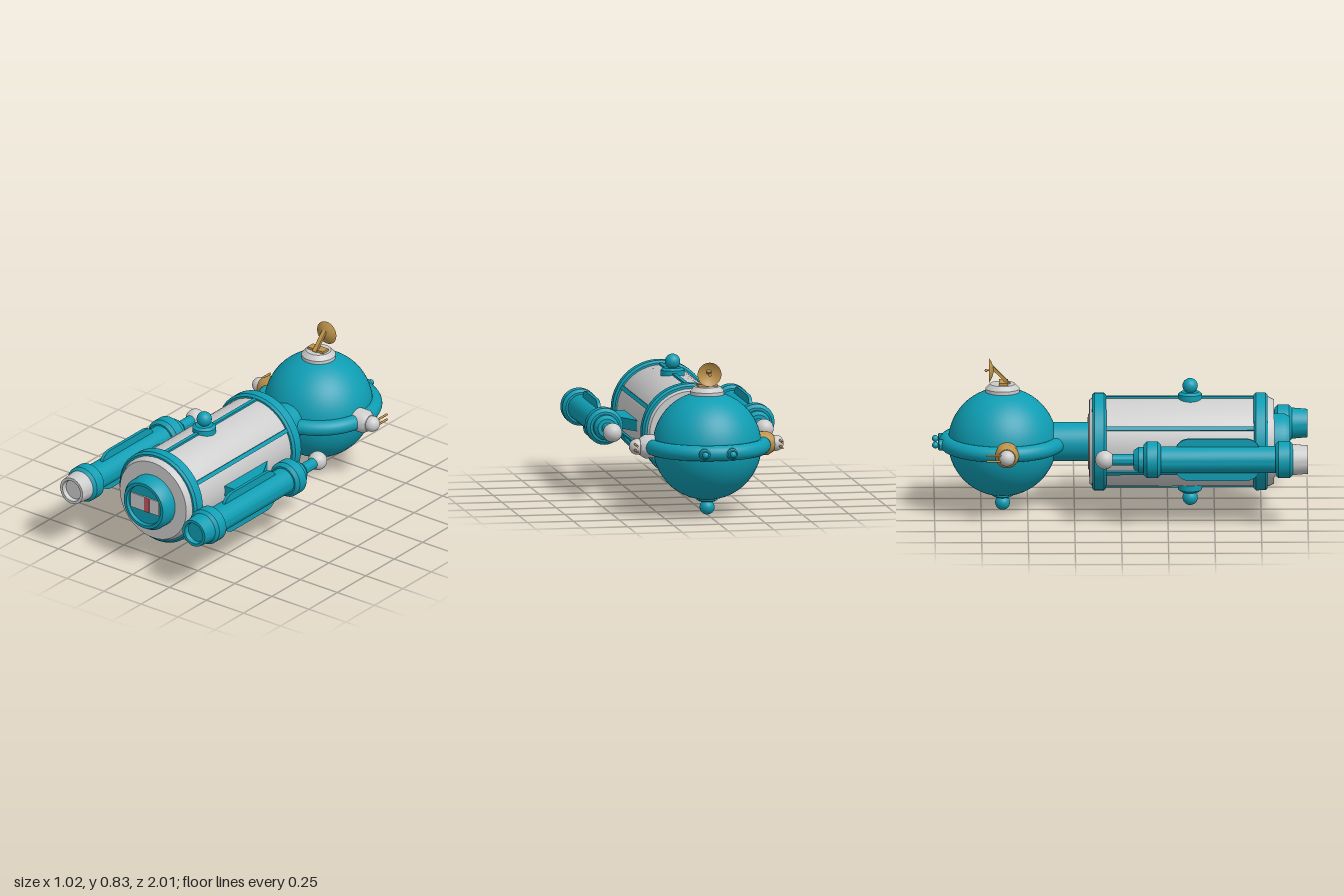
import * as THREE from 'three';
import { toCreasedNormals } from 'three/addons/utils/BufferGeometryUtils.js';

const paint = (color) => new THREE.MeshStandardMaterial({ color });
const TEAL = paint(0x0e9db3), GREY = paint(0xcccccc), TAN = paint(0xbd934b), RED = paint(0xc05560);
const DISH = new THREE.MeshStandardMaterial({ color: 0xbd934b, side: THREE.DoubleSide });
const CY = 0.375, HEAD_Z = -0.635;

function add(parent, name, geometry, material, x = 0, y = 0, z = 0) {
  const mesh = new THREE.Mesh(geometry, material);
  mesh.name = name;
  mesh.position.set(x, y, z);
  parent.add(mesh);
  return mesh;
}

// Turned solid with [radius, height] points listed bottom to top, crisp edges
function turned(points, segments = 48) {
  const profile = points.map(([r, h]) => new THREE.Vector2(r, h));
  return toCreasedNormals(new THREE.LatheGeometry(profile, segments), 0.6);
}
const turnedZ = (points) => turned(points).rotateX(Math.PI / 2);
const ball = (r) => new THREE.SphereGeometry(r, 28, 20);
const box = (w, h, d) => new THREE.BoxGeometry(w, h, d);

// Closed band with bevelled edges along z
const band = (r, z0, z1, c = 0.012) =>
  turnedZ([[0, z0], [r - c, z0], [r, z0 + c], [r, z1 - c], [r - c, z1], [0, z1]]);

// Lamp made of a stepped base and a ball, pointing along its own +y
function lamp(name, baseR, ballR, baseH) {
  const g = new THREE.Group();
  g.name = name;
  add(g, 'lampBase', turned([[0, -0.02], [baseR, -0.02], [baseR, baseH * 0.6], [baseR * 0.75, baseH], [0, baseH]], 32), TEAL);
  add(g, 'lampBall', ball(ballR), TEAL, 0, baseH + ballR * 0.8, 0);
  return g;
}

function makeBody() {
  const g = new THREE.Group();
  g.name = 'body';
  g.position.y = CY;
  add(g, 'hull', turnedZ([[0, -0.17], [0.225, -0.17], [0.24, -0.15], [0.24, 0.79], [0.225, 0.82], [0, 0.82]]), GREY);
  add(g, 'rearBand', band(0.262, -0.155, -0.08), TEAL);
  add(g, 'frontBand', band(0.262, 0.71, 0.785), TEAL);
  add(g, 'neck', turnedZ([[0, -0.42], [0.105, -0.42], [0.105, -0.16], [0, -0.16]]), TEAL);
  add(g, 'neckCollar', band(0.15, -0.178, -0.16, 0.006), GREY);
  // Long ribs around the hull
  for (let i = 0; i < 6; i++) {
    const a = Math.PI / 2 + i * Math.PI / 3;
    add(g, 'rib', box(0.02, 0.022, 0.8), TEAL, Math.cos(a) * 0.24, Math.sin(a) * 0.24, 0.315)
      .rotation.z = a;
  }
  // Nose hub with shallow recess and slot
  add(g, 'noseHub', turnedZ([[0, 0.81], [0.15, 0.81], [0.15, 0.875], [0.132, 0.905], [0.115, 0.905], [0.112, 0.885], [0, 0.885]]), TEAL);
  add(g, 'noseSlot', box(0.19, 0.085, 0.012), GREY, 0, 0.005, 0.887);
  add(g, 'noseSlotBar', box(0.035, 0.085, 0.008), RED, 0.015, 0.005, 0.892);
  // Lamps above and below
  for (const s of [1, -1]) {
    const l = lamp(s > 0 ? 'topLamp' : 'bottomLamp', 0.064, 0.041, 0.03);
    l.position.set(0, s * 0.245, 0.37);
    if (s < 0) l.rotation.x = Math.PI;
    g.add(l);
  }
  return g;
}

function makeHead() {
  const g = new THREE.Group();
  g.name = 'head';
  g.position.set(0, CY, HEAD_Z);
  add(g, 'sphere', new THREE.SphereGeometry(0.292, 56, 36), TEAL);
  add(g, 'equatorRing', new THREE.TorusGeometry(0.3, 0.042, 20, 64).rotateX(Math.PI / 2), TEAL);
  const chin = lamp('chinLamp', 0.056, 0.04, 0.02);
  chin.rotation.x = Math.PI;
  chin.position.y = -0.282;
  g.add(chin);
  // Rear lights on the ring
  for (const s of [-1, 1]) {
    const l = lamp('rearLight', 0.03, 0.018, 0.016);
    l.position.set(s * 0.075, 0, -0.33);
    l.rotation.set(-Math.PI / 2, 0, 0);
    g.add(l);
  }
  // Side sensors: cone mount, ball and two prongs
  for (const s of [-1, 1]) {
    const side = new THREE.Group();
    side.name = s > 0 ? 'leftSensor' : 'rightSensor';
    const mount = turned([[0, 0.27], [0.064, 0.27], [0.064, 0.335], [0.045, 0.365], [0, 0.365]], 32).rotateZ(-s * Math.PI / 2);
    add(side, 'sensorMount', mount, s > 0 ? GREY : TAN);
    add(side, 'sensorBall', ball(0.043), GREY, s * 0.378, 0, 0);
    for (const y of [-0.013, 0.018])
      add(side, 'prong', new THREE.CylinderGeometry(0.006, 0.006, 0.11, 10).rotateX(Math.PI / 2), TAN, s * 0.395, y, -0.055);
    side.position.z = 0.022;
    g.add(side);
  }
  // Dish antenna on its turntable
  const antenna = new THREE.Group();
  antenna.name = 'dishAntenna';
  add(antenna, 'turntable', turned([[0, 0.26], [0.092, 0.26], [0.092, 0.295], [0.068, 0.32], [0, 0.32]]), GREY);
  add(antenna, 'pedestal', box(0.105, 0.016, 0.05), TAN, 0, 0.325, 0.005);
  const strut = add(antenna, 'strut', box(0.024, 0.13, 0.016), TAN, 0, 0.365, -0.01);
  strut.rotation.x = -0.78;
  const profile = [];
  for (let i = 0; i <= 8; i++) profile.push(new THREE.Vector2(0.065 * i / 8, 0.024 * (i / 8) ** 2));
  const dish = new THREE.Group();
  dish.name = 'dish';
  add(dish, 'reflector', new THREE.LatheGeometry(profile, 36), DISH);
  add(dish, 'feed', new THREE.CylinderGeometry(0.004, 0.004, 0.04, 8), TAN, 0, 0.02, 0);
  add(dish, 'feedTip', ball(0.008), TAN, 0, 0.04, 0);
  dish.rotation.x = -Math.PI / 2;
  dish.position.set(0, 0.393, -0.048);
  antenna.add(dish);
  g.add(antenna);
  return g;
}

// Thin fin plate with rounded corners, lying in the yz plane
function finGeometry() {
  const s = new THREE.Shape(), z0 = 0.28, z1 = 0.75, h = 0.115, r = 0.09;
  s.moveTo(z0 + r, -h);
  s.lineTo(z1 - r, -h);
  s.quadraticCurveTo(z1, -h, z1, 0);
  s.quadraticCurveTo(z1, h, z1 - r, h);
  s.lineTo(z0 + r, h);
  s.quadraticCurveTo(z0, h, z0, 0);
  s.quadraticCurveTo(z0, -h, z0 + r, -h);
  return new THREE.ExtrudeGeometry(s, { depth: 0.018, bevelEnabled: false })
    .translate(0, 0, -0.009).rotateY(-Math.PI / 2);
}

function makePod(side) {
  const g = new THREE.Group();
  g.name = side > 0 ? 'leftPod' : 'rightPod';
  g.position.set(side * 0.413, CY, 0);
  add(g, 'podTube', turnedZ([[0, 0.18], [0.072, 0.18], [0.072, 0.84], [0, 0.84]]), TEAL);
  add(g, 'rearCollar', band(0.099, 0.118, 0.212, 0.018), TEAL);
  add(g, 'rearCap', turnedZ([[0, 0.065], [0.05, 0.065], [0.068, 0.09], [0.068, 0.13], [0, 0.13]]), TEAL);
  add(g, 'tailStem', turnedZ([[0, -0.07], [0.03, -0.07], [0.03, 0.08], [0, 0.08]]), TEAL);
  add(g, 'tailBall', ball(0.051), GREY, 0, 0, -0.09);
  add(g, 'frontCollar', band(0.099, 0.825, 0.918, 0.016), TEAL);
  add(g, 'nozzle', turnedZ([[0, 0.9], [0.085, 0.9], [0.076, 1.0], [0.06, 1.0], [0.055, 0.975], [0, 0.975]]), side > 0 ? TEAL : GREY);
  add(g, 'podFin', finGeometry(), TEAL);
  return g;
}

// Swept wing joining the body to a pod
function makeWing(side) {
  const s = new THREE.Shape();
  s.moveTo(0.2, 0.05);
  s.lineTo(0.4, 0.43);
  s.lineTo(0.4, 0.5);
  s.lineTo(0.2, 0.5);
  const geo = new THREE.ExtrudeGeometry(s, { depth: 0.06, bevelEnabled: false })
    .translate(0, 0, -0.03).rotateX(Math.PI / 2);
  const wing = add(new THREE.Group(), side > 0 ? 'leftWing' : 'rightWing', geo, TEAL, 0, CY, 0);
  if (side < 0) wing.scale.x = -1;
  return wing;
}

export function createModel() {
  const model = new THREE.Group();
  model.name = 'spaceship';
  model.add(makeBody(), makeHead());
  for (const side of [1, -1]) model.add(makePod(side), makeWing(side));
  return model;
}
